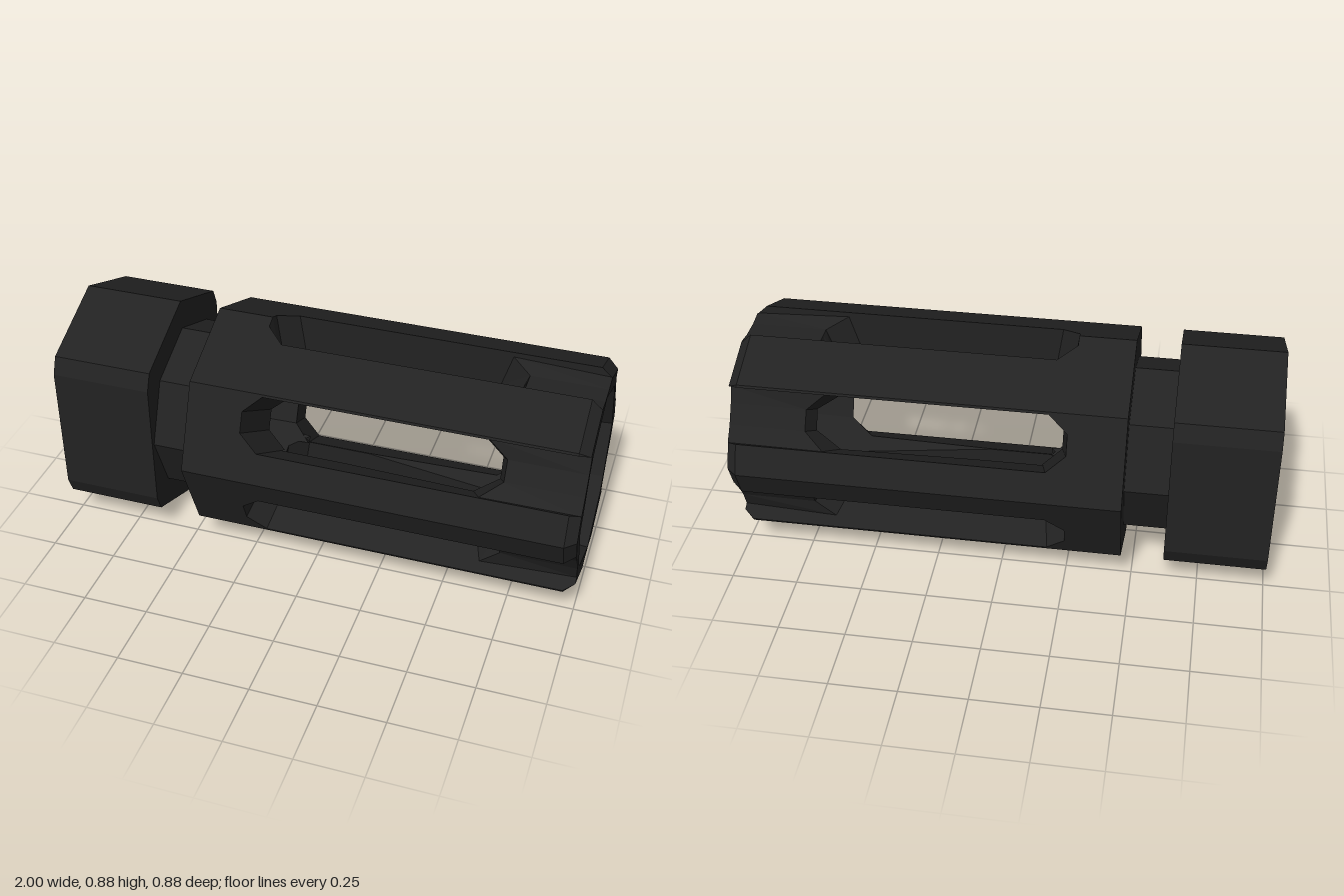
import * as THREE from 'three';

const CY = 0.4425;          // height of the axis, which runs along x
const R_OUT = 0.4425;       // octagon corner radius of the barrel
const R_HOLE = 0.1675;      // narrow bore
const HALF = 0.105;         // half width of a slot
const RAD = Math.PI / 180;

// Distance along direction a (degrees) to an octagon of corner radius R, offset sideways by t
function oct(R, a, t = 0) {
  let best = Infinity;
  for (let k = 0; k < 8; k++) {
    const d = (22.5 + 45 * k - a) * RAD;
    if (Math.cos(d) > 1e-4) {
      best = Math.min(best, (R * Math.cos(22.5 * RAD) - t * Math.sin(d)) / Math.cos(d));
    }
  }
  return best;
}

// Point at x, radial distance r along direction a (0 = up, 90 = front), sideways t
function pt(x, r, a, t = 0) {
  const s = Math.sin(a * RAD), c = Math.cos(a * RAD);
  return new THREE.Vector3(x, CY + r * c - t * s, r * s + t * c);
}

// Skin closed profiles (columns) running around the axis
function loft(columns, caps = false) {
  const pos = [];
  const tri = (a, b, c) => pos.push(...a.toArray(), ...b.toArray(), ...c.toArray());
  const n = columns[0].length;
  for (let j = 0; j + 1 < columns.length; j++) {
    const p = columns[j], q = columns[j + 1];
    for (let i = 0; i < n; i++) {
      const k = (i + 1) % n;
      tri(p[i], q[i], q[k]);
      tri(p[i], q[k], p[k]);
    }
  }
  if (caps) {
    const f = columns[0], l = columns[columns.length - 1];
    for (let i = 1; i + 1 < n; i++) {
      tri(f[0], f[i], f[i + 1]);
      tri(l[0], l[i + 1], l[i]);
    }
  }
  const g = new THREE.BufferGeometry();
  g.setAttribute('position', new THREE.Float32BufferAttribute(pos, 3));
  g.computeVertexNormals();
  return g;
}

// Flaring bore radius
const bore = (x) => Math.max(R_HOLE, 0.345 - 0.1305 * (1 - x));

export function createModel() {
  const group = new THREE.Group();
  const metal = new THREE.MeshStandardMaterial({ color: 0x222222, flatShading: true });
  metal.name = 'blackened steel';
  const add = (name, geometry) => {
    const mesh = new THREE.Mesh(geometry, metal);
    mesh.name = name;
    group.add(mesh);
  };

  // Rear block: octagon with two wrench flats and a wide socket
  const flat = 0.34;
  const corner = Math.atan2(flat, 0.248) / RAD;
  const angles = [0, 45, corner, 90, 180 - corner, 135, 180, 225, 180 + corner, 270,
    360 - corner, 315, 360].sort((a, b) => a - b);
  add('rearBlock', loft(angles.map((a) => {
    const r = Math.min(oct(R_OUT, a), flat / Math.max(1e-6, Math.abs(Math.sin(a * RAD))));
    const h = oct(0.25, a);
    return [pt(-1, r, a), pt(-0.62, r, a), pt(-0.62, h, a), pt(-1, h, a)];
  })));

  // Neck with the step from socket to bore
  const neck = [[-0.62, 0.325], [-0.46, 0.325], [-0.46, R_HOLE], [-0.5, R_HOLE], [-0.5, 0.25], [-0.62, 0.25]];
  add('neck', loft([0, 45, 90, 135, 180, 225, 270, 315, 360].map(
    (a) => neck.map(([x, r]) => pt(x, r, a)))));

  const ts = [-HALF, -0.04, 0, 0.04, HALF];
  for (let k = 0; k < 6; k++) {
    // Long bar between two slots, pointed on the inside where the bore is narrow
    const c = 30 + 60 * k;
    const vertex = Math.round(c / 45) * 45;
    const outer = [[-0.46, R_OUT], [0.96, R_OUT], [1, 0.405]];
    const inner = [1, 0.6, 0.1, -0.46];
    const side = (a, t) => [
      ...outer.map(([x, R]) => pt(x, oct(R, a, t), a, t)),
      ...inner.map((x) => pt(x, Math.max(oct(bore(x), a, t), HALF * Math.sqrt(3)), a, t)),
    ];
    const middle = [
      ...outer.map(([x, R]) => pt(x, R, vertex)),
      ...inner.map((x) => pt(x, Math.max(oct(bore(x), c), 2 * HALF), c)),
    ];
    add('bar', loft([side(c - 30, HALF), middle, side(c + 30, -HALF)], true));

    // Collar section behind each slot, with the bevelled slot end
    const a = 60 * k;
    add('collarSection', loft(ts.map((t) => {
      const xo = Math.abs(t) > 0.1 ? -0.18 : -0.25;
      const xi = xo + 0.035;
      return [pt(-0.46, oct(R_OUT, a, t), a, t), pt(xo, oct(R_OUT, a, t), a, t),
        pt(xi, oct(bore(xi), a, t), a, t), pt(-0.36, oct(R_HOLE, a, t), a, t),
        pt(-0.46, oct(R_HOLE, a, t), a, t)];
    })));

    // Sunken bridge in front of each slot, out to the muzzle
    add('muzzleBridge', loft(ts.map((t) => {
      const edge = Math.abs(t) > 0.1;
      const xi = edge ? 0.6 : 0.69;
      const xo = edge ? 0.64 : 0.715;
      const r = edge ? 0.38 : 0.355;
      return [pt(xo, r, a, t), pt(1, r - (edge ? 0.015 : 0), a, t),
        pt(1, oct(0.345, a, t), a, t), pt(xi, oct(bore(xi), a, t), a, t)];
    })));
  }
  return group;
}
